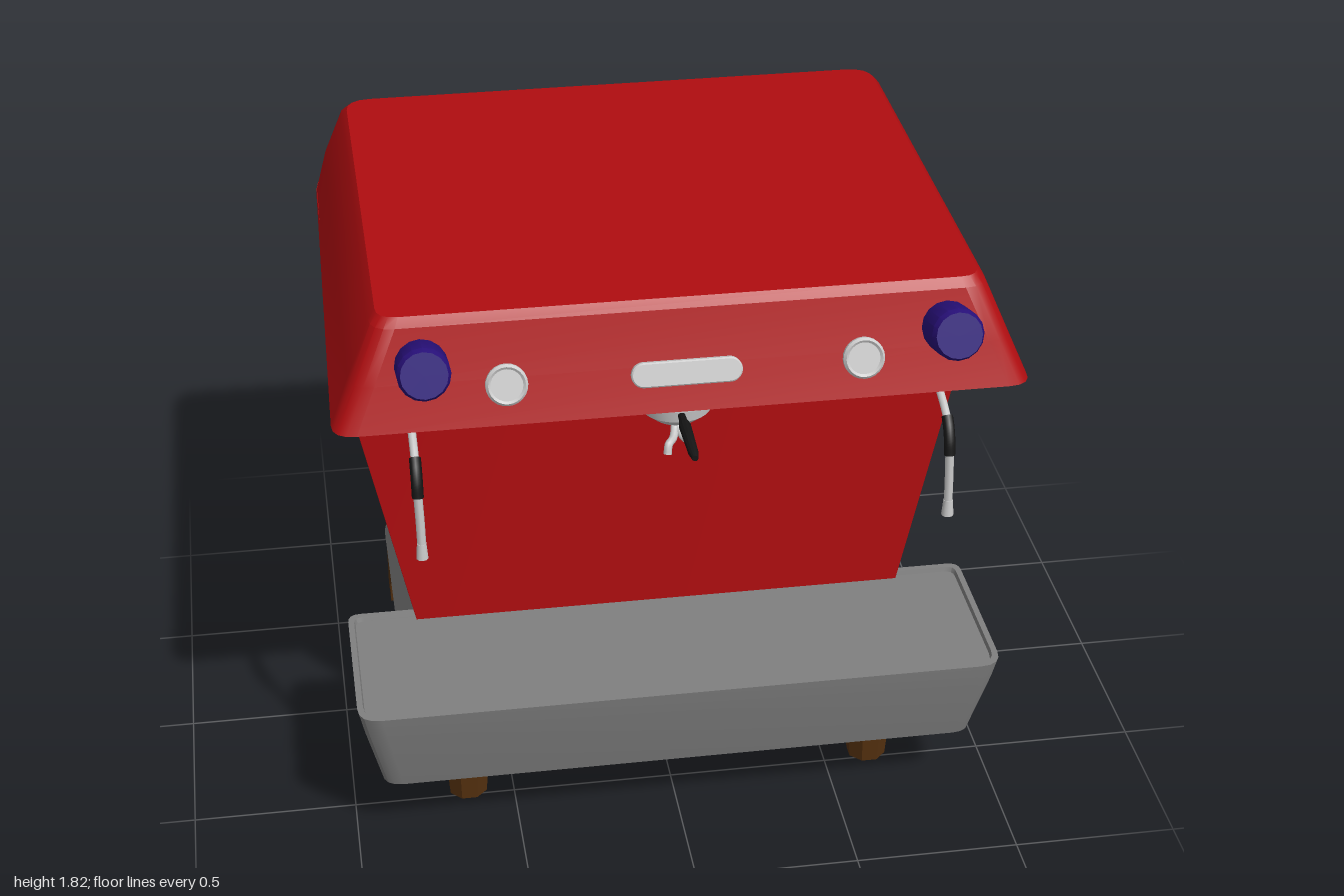
import * as THREE from 'three';
import { toCreasedNormals } from 'three/addons/utils/BufferGeometryUtils.js';

const paint = (color) => new THREE.MeshStandardMaterial({ color });
const red = paint(0xb00d10), grey = paint(0x808080), steel = paint(0xcccccc);
const wood = paint(0x54300f), purple = paint(0x28107a), black = paint(0x151515);

function add(parent, name, geometry, material, x = 0, y = 0, z = 0) {
  const mesh = new THREE.Mesh(geometry, material);
  mesh.name = name;
  mesh.position.set(x, y, z);
  parent.add(mesh);
  return mesh;
}

// Horizontal four-sided outline with rounded corners, counter-clockwise from above
function ring({ y, wf, wb = wf, zf, zb, rf, rb }) {
  const corners = [[wf, zf, rf], [wb, zb, rb], [-wb, zb, rb], [-wf, zf, rf]];
  const points = [];
  corners.forEach(([x, z, r], i) => {
    const c = new THREE.Vector2(x, z);
    const towards = (k) => {
      const n = new THREE.Vector2(corners[k % 4][0], corners[k % 4][1]);
      return n.sub(c).setLength(r).add(c);
    };
    const curve = new THREE.QuadraticBezierCurve(towards(i + 3), c, towards(i + 1));
    for (const p of curve.getPoints(4)) points.push(new THREE.Vector3(p.x, y, p.y));
  });
  return points;
}

// Skin between stacked outlines, closed at both ends
function loft(sections, crease = 0.45) {
  const rings = sections.map(ring), n = rings[0].length, pos = [];
  const tri = (...pts) => pts.forEach((p) => pos.push(p.x, p.y, p.z));
  const middle = (r) => r.reduce((s, p) => s.add(p), new THREE.Vector3()).divideScalar(n);
  const first = rings[0], last = rings[rings.length - 1];
  const low = middle(first), high = middle(last);
  for (let i = 0; i < n; i++) {
    const j = (i + 1) % n;
    for (let k = 0; k + 1 < rings.length; k++) {
      const a = rings[k], b = rings[k + 1];
      tri(a[i], a[j], b[j]);
      tri(a[i], b[j], b[i]);
    }
    tri(low, first[j], first[i]);
    tri(high, last[i], last[j]);
  }
  const geometry = new THREE.BufferGeometry();
  geometry.setAttribute('position', new THREE.Float32BufferAttribute(pos, 3));
  return toCreasedNormals(geometry, crease);
}

const lathe = (profile, segments = 24) => toCreasedNormals(
  new THREE.LatheGeometry(profile.map(([r, y]) => new THREE.Vector2(r, y)), segments), 0.5);

const tube = (points, radius) => new THREE.TubeGeometry(
  new THREE.CatmullRomCurve3(points.map((p) => new THREE.Vector3(...p))), 16, radius, 8);

const extrude = (points, depth) => new THREE.ExtrudeGeometry(
  new THREE.Shape(points.map(([x, y]) => new THREE.Vector2(x, y))), { depth, bevelEnabled: false });

// Corner bracket foot; outer corner at the origin, wings along +x and +z
function bracketFoot() {
  const foot = new THREE.Group();
  foot.name = 'backLeg';
  const profile = [[0.04, 0], [0.16, 0], [0.172, 0.08], [0.2, 0.12], [0.24, 0.155],
    [0.3, 0.175], [0.37, 0.185], [0.37, 0.235], [0.04, 0.235]];
  add(foot, 'sideways wing', extrude(profile, 0.09), wood);
  const wing = add(foot, 'lengthways wing', extrude(profile, 0.09), wood, 0.09);
  wing.rotation.y = -Math.PI / 2;
  const post = extrude([[0.04, 0], [0.09, 0], [0.09, -0.09], [0, -0.09], [0, -0.04]], 0.235);
  post.rotateX(-Math.PI / 2);
  add(foot, 'corner post', post, wood);
  return foot;
}

// Steam pipe with a dark grip and a thicker tip
function steamWand() {
  const wand = new THREE.Group();
  wand.name = 'steamWand';
  add(wand, 'upper pipe', tube([[0, 1.53, 0.545], [0, 1.46, 0.56], [0, 1.425, 0.61],
    [0, 1.4, 0.68], [0, 1.375, 0.73]], 0.012), steel);
  add(wand, 'grip', tube([[0, 1.39, 0.715], [0, 1.365, 0.74], [0, 1.33, 0.758], [0, 1.29, 0.767]], 0.017), black);
  add(wand, 'lower pipe', tube([[0, 1.3, 0.766], [0.003, 1.2, 0.768], [0.004, 1.12, 0.77]], 0.013), steel);
  add(wand, 'tip', new THREE.CylinderGeometry(0.014, 0.018, 0.05, 10), steel, 0.004, 1.113, 0.77);
  return wand;
}

export function createModel() {
  const model = new THREE.Group();
  model.name = 'espressoMachine';

  // Housing: tapered body below an overhanging head
  add(model, 'body', loft([
    { y: 0.43, wf: 0.75, zf: 0.25, zb: -0.69, rf: 0.002, rb: 0.08 },
    { y: 1.46, wf: 0.966, wb: 0.962, zf: 0.25, zb: -0.888, rf: 0.002, rb: 0.11 },
    { y: 1.52, wf: 0.976, wb: 0.965, zf: 0.25, zb: -0.893, rf: 0.002, rb: 0.11 },
  ]), red);
  add(model, 'head', loft([
    { y: 1.51, wf: 1.0, wb: 0.965, zf: 0.775, zb: -0.895, rf: 0.07, rb: 0.11 },
    { y: 1.64, wf: 0.943, wb: 0.935, zf: 0.734, zb: -0.872, rf: 0.07, rb: 0.11 },
    { y: 1.795, wf: 0.876, zf: 0.692, zb: -0.825, rf: 0.07, rb: 0.09 },
    { y: 1.82, wf: 0.855, zf: 0.67, zb: -0.795, rf: 0.06, rb: 0.08 },
  ]), red);

  // Base and drip tray
  add(model, 'base', loft([
    { y: 0.23, wf: 0.815, zf: 0.22, zb: -0.77, rf: 0.002, rb: 0.07 },
    { y: 0.437, wf: 0.757, zf: 0.22, zb: -0.7, rf: 0.002, rb: 0.07 },
  ]), grey);
  add(model, 'drip tray', loft([
    { y: 0.23, wf: 0.915, zf: 0.71, zb: 0.215, rf: 0.06, rb: 0.04 },
    { y: 0.45, wf: 0.965, zf: 0.766, zb: 0.215, rf: 0.07, rb: 0.04 },
    { y: 0.527, wf: 0.98, zf: 0.778, zb: 0.215, rf: 0.07, rb: 0.04 },
    { y: 0.527, wf: 0.962, zf: 0.76, zb: 0.233, rf: 0.06, rb: 0.03 },
    { y: 0.512, wf: 0.958, zf: 0.756, zb: 0.237, rf: 0.06, rb: 0.03 },
  ]), grey);

  // Sloping control panel; local +z points out of the head's front
  const panel = new THREE.Group();
  panel.name = 'controlPanel';
  panel.position.set(0, 1.62, 0.741);
  panel.rotation.x = -0.305;
  model.add(panel);
  const knob = lathe([[0, -0.05], [0.035, -0.05], [0.035, 0.035], [0.073, 0.035], [0.075, 0.045],
    [0.075, 0.16], [0.066, 0.178], [0, 0.178]], 16).rotateX(Math.PI / 2);
  const gauge = lathe([[0.06, -0.02], [0.06, 0.012], [0.053, 0.02], [0.046, 0.014], [0, 0.014]])
    .rotateX(Math.PI / 2);
  const plate = new THREE.Shape();
  plate.absarc(0.122, 0, 0.032, -Math.PI / 2, Math.PI / 2);
  plate.absarc(-0.122, 0, 0.032, Math.PI / 2, Math.PI * 1.5);
  add(panel, 'front plate', new THREE.ExtrudeGeometry(plate,
    { depth: 0.02, bevelSize: 0.004, bevelThickness: 0.004, bevelSegments: 1 }), steel, 0, 0, -0.005);

  for (const side of [-1, 1]) {
    add(panel, 'knob', knob, purple, side * 0.742, 0.082, 0);
    add(panel, 'gauge', gauge, steel, side * 0.507, 0.002, 0);

    const wand = steamWand();
    wand.position.x = side * 0.77;
    model.add(wand);

    add(model, 'frontLeg', toCreasedNormals(new THREE.CylinderGeometry(0.08, 0.062, 0.235, 8), 0.3),
      wood, side * 0.643, 0.1175, 0.462).rotation.y = Math.PI / 8;
  }

  // Back legs: the right one is the left turned a quarter turn
  const rightFoot = bracketFoot(), leftFoot = bracketFoot();
  rightFoot.position.set(-0.81, 0, -0.768);
  leftFoot.position.set(0.81, 0, -0.768);
  leftFoot.rotation.y = -Math.PI / 2;
  model.add(rightFoot, leftFoot);

  // Brewing head, filter handle and twin spout
  const brew = new THREE.Group();
  brew.name = 'brewGroup';
  brew.position.set(0, 0, 0.555);
  model.add(brew);
  add(brew, 'filter holder', lathe([[0, 1.375], [0.07, 1.375], [0.105, 1.405], [0.115, 1.46], [0.14, 1.462],
    [0.16, 1.47], [0.16, 1.485], [0.145, 1.49], [0.145, 1.52], [0, 1.52]], 32), steel);
  const handle = lathe([[0, 0.07], [0.01, 0.07], [0.012, 0.14], [0.018, 0.17], [0.015, 0.31], [0.009, 0.345],
    [0, 0.345]], 12).rotateX(Math.PI / 2);
  add(brew, 'handle', handle, black, 0, 1.43, 0);
  for (const side of [-1, 1]) {
    add(brew, 'spout', tube([[0, 1.39, 0], [side * 0.004, 1.345, 0.015], [side * 0.015, 1.325, 0.055],
      [side * 0.033, 1.322, 0.085], [side * 0.038, 1.295, 0.095]], 0.012), steel);
  }
  return model;
}
